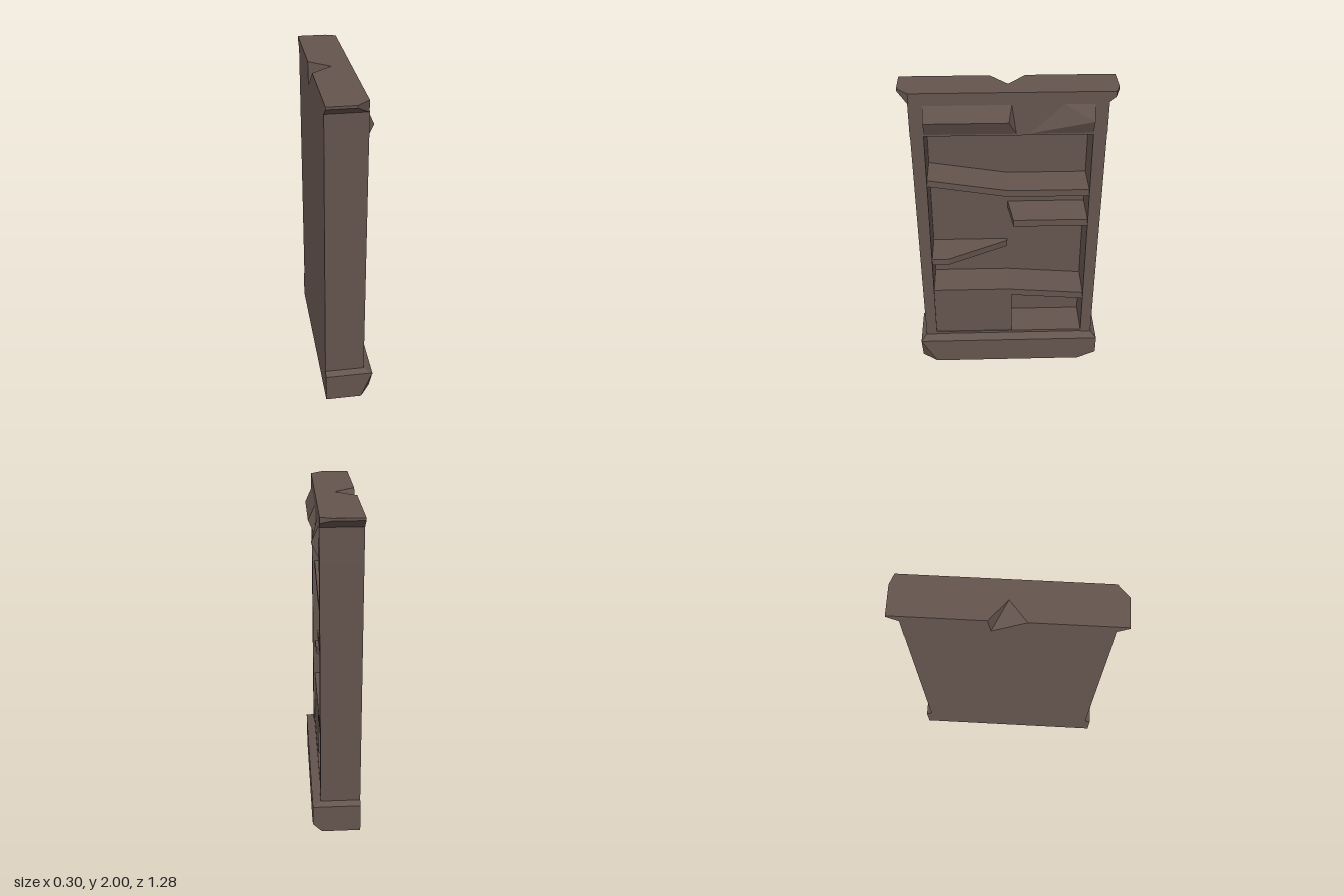
import * as THREE from 'three';
import { ConvexGeometry } from 'three/addons/geometries/ConvexGeometry.js';

const wood = new THREE.MeshStandardMaterial({ color: 0x64544e, flatShading: true });
const V = (p) => new THREE.Vector3(...p);
const BACK = -0.15, FRONT = 0.095, INNER = -0.144;

// Corner points of a box given by its limits
function boxPoints(x0, x1, y0, y1, z0, z1) {
  const pts = [];
  for (const x of [x0, x1]) for (const y of [y0, y1]) for (const z of [z0, z1]) pts.push(V([x, y, z]));
  return pts;
}

// Cut a convex solid by the plane through a, b, c; keep the half holding the point `keep`
function cut(pts, a, b, c, keep) {
  const plane = new THREE.Plane().setFromCoplanarPoints(V(a), V(b), V(c));
  if (plane.distanceToPoint(V(keep)) < 0) plane.negate();
  const d = pts.map((p) => plane.distanceToPoint(p));
  const out = pts.filter((p, i) => d[i] >= -1e-6);
  for (let i = 0; i < pts.length; i++) {
    for (let j = i + 1; j < pts.length; j++) {
      if ((d[i] > 1e-6 && d[j] < -1e-6) || (d[i] < -1e-6 && d[j] > 1e-6)) {
        out.push(pts[i].clone().lerp(pts[j], d[i] / (d[i] - d[j])));
      }
    }
  }
  return out;
}

export function createModel() {
  const group = new THREE.Group();
  const add = (name, geometry) => {
    const mesh = new THREE.Mesh(geometry, wood);
    mesh.name = name;
    group.add(mesh);
    return mesh;
  };
  const solid = (name, pts) => add(name, new ConvexGeometry(pts));

  // Plinth with two chipped lower front corners
  let plinth = boxPoints(BACK, 0.145, 0, 0.18, -0.6, 0.6);
  plinth = cut(plinth, [0.145, 0.18, 0.6], [0.075, 0, 0.6], [0.145, 0, 0.5], [0, 0.1, 0]);
  plinth = cut(plinth, [0.145, 0.055, -0.6], [0.09, 0, -0.6], [0.145, 0, -0.48], [0, 0.1, 0]);
  solid('plinth', plinth);
  solid('plinthBevel', [
    ...boxPoints(BACK, 0.145, 0.17, 0.18, -0.6, 0.6),
    ...boxPoints(BACK, FRONT, 0.19, 0.2, -0.568, 0.568),
  ]);
  solid('floor', boxPoints(BACK, 0.09, 0.19, 0.217, -0.5, 0.5));

  // Back and the slightly tapered sides
  solid('backPanel', boxPoints(BACK, INNER, 0.19, 1.74, -0.5, 0.5));
  for (const s of [1, -1]) {
    solid(s > 0 ? 'leftSide' : 'rightSide', [
      ...boxPoints(BACK, FRONT, 0.19, 0.2, s * 0.495, s * 0.565),
      ...boxPoints(BACK, FRONT, 1.73, 1.731, s * 0.495, s * 0.573),
    ]);
  }

  // Frieze and cornice, both split around a wedge broken out of the back
  const tip = [-0.025, 2, 0], low = [BACK, 1.86, -0.09];
  const rim1 = [BACK, 2, -0.105], rim2 = [BACK, 2, 0.105];
  const notched = (name, pts) => {
    solid(name, cut(pts, tip, low, rim1, [0, 1.95, -0.5]));
    solid(name, cut(cut(pts, tip, low, rim1, rim2), tip, low, rim2, [0, 1.95, 0.5]));
  };
  notched('frieze', boxPoints(BACK, FRONT, 1.73, 1.94, -0.575, 0.575));
  let cornice = [
    ...boxPoints(BACK, FRONT, 1.935, 1.94, -0.575, 0.575),
    ...boxPoints(BACK, FRONT, 1.985, 2, -0.64, 0.64),
  ];
  cornice = cut(cornice, [0.02, 2, 0.64], [FRONT, 2, 0.57], [0.02, 1.9, 0.64], [0, 1.95, 0]);
  cornice = cut(cornice, [0.03, 2, -0.64], [FRONT, 2, -0.615], [0.03, 1.9, -0.64], [0, 1.95, 0]);
  notched('cornice', cornice);

  // Ridged moulding on the frieze, broken in the middle
  const ridge = (z) => [[0.09, 1.935, z], [0.137, 1.83, z], [0.09, 1.73, z]];
  solid('leftMoulding', [
    ...ridge(0.493), [0.09, 1.935, -0.02], [0.137, 1.83, 0], [0.09, 1.73, -0.05],
  ].map(V));
  solid('rightMoulding', [
    ...ridge(-0.495), [0.09, 1.935, -0.3], [0.1, 1.83, -0.29], [0.09, 1.73, -0.08],
  ].map(V));

  // Boards extruded across the depth from a front outline of [z, y] points
  const board = (name, outline, x0 = INNER, x1 = 0.08) => {
    const shape = new THREE.Shape(outline.map(([z, y]) => new THREE.Vector2(-z, y)));
    const geometry = new THREE.ExtrudeGeometry(shape, { depth: x1 - x0, bevelEnabled: false });
    add(name, geometry.rotateY(Math.PI / 2).translate(x0, 0, 0));
  };
  board('crackedUpperShelf', [
    [0.496, 1.38], [0, 1.298], [-0.496, 1.298], [-0.496, 1.343], [0, 1.343], [0.496, 1.423],
  ]);
  board('sunkenLowerShelf', [
    [0.496, 0.53], [0, 0.53], [-0.496, 0.488], [-0.496, 0.537], [0, 0.578], [0.496, 0.578],
  ], INNER, 0.085);
  board('cupboardDoor', [[0.496, 0.21], [-0.02, 0.21], [-0.02, 0.54], [0.496, 0.54]], 0.06, 0.085);

  // Broken half shelves, extruded upward from a plan of [x, z] points
  const brokenShelf = (name, y0, y1, plan) => {
    const shape = new THREE.Shape(plan.map(([x, z]) => new THREE.Vector2(x, -z)));
    const geometry = new THREE.ExtrudeGeometry(shape, { depth: y1 - y0, bevelEnabled: false });
    add(name, geometry.rotateX(-Math.PI / 2).translate(0, y0, 0));
  };
  brokenShelf('rightHalfShelf', 1.08, 1.127, [
    [INNER, 0], [0.085, -0.03], [0.085, -0.496], [INNER, -0.496],
  ]);
  brokenShelf('leftHalfShelf', 0.785, 0.83, [
    [INNER, 0.496], [0.08, 0.496], [0.08, 0.39], [-0.12, 0.005], [INNER, 0.005],
  ]);
  return group;
}
